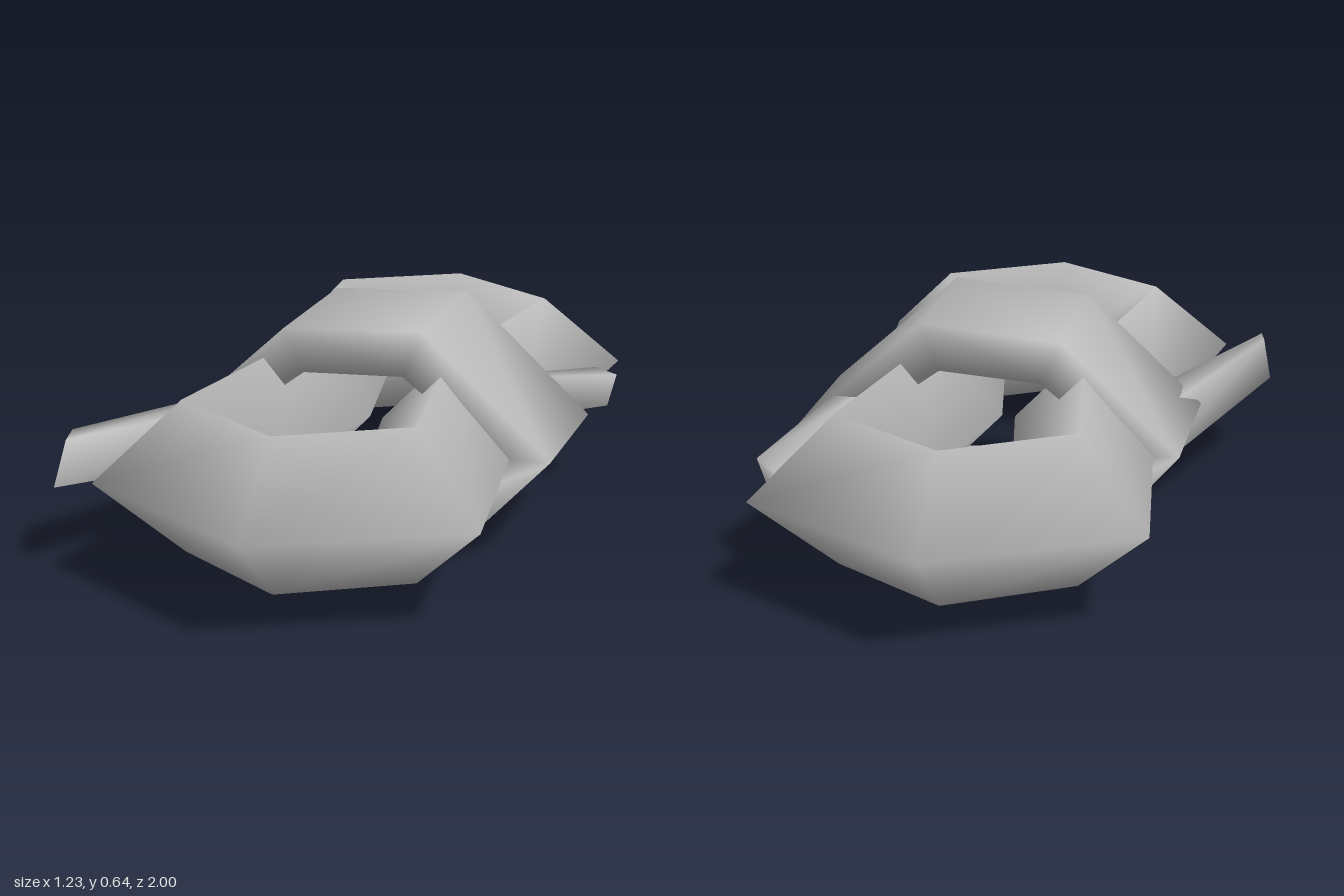
import * as THREE from 'three';

const grey = new THREE.MeshStandardMaterial({ color: 0xbcbcbc });
grey.name = 'plain grey';

// Joins four-cornered cross-sections into a smooth skin, as a ring or a capped bar
function loft(name, sections, ring) {
  const n = sections[0].length, count = sections.length;
  const pos = sections.flat(2), index = [];
  for (let i = 0; i < (ring ? count : count - 1); i++) {
    for (let j = 0; j < n; j++) {
      const k = (j + 1) % n, next = (i + 1) % count;
      const a = i * n + j, b = i * n + k, c = next * n + k, d = next * n + j;
      index.push(a, b, c, a, c, d);
    }
  }
  if (!ring) {
    const e = (count - 1) * n;
    index.push(0, 2, 1, 0, 3, 2, e, e + 1, e + 2, e, e + 2, e + 3);
  }
  // Turn the corner order around if the skin encloses a negative volume
  const corner = (i) => new THREE.Vector3().fromArray(pos, index[i] * 3);
  let volume = 0;
  for (let i = 0; i < index.length; i += 3) {
    volume += corner(i).dot(corner(i + 1).cross(corner(i + 2)));
  }
  if (volume < 0) index.reverse();

  const geo = new THREE.BufferGeometry();
  geo.setAttribute('position', new THREE.Float32BufferAttribute(pos, 3));
  geo.setIndex(index);
  geo.computeVertexNormals();
  const mesh = new THREE.Mesh(geo, grey);
  mesh.name = name;
  return mesh;
}

export function createModel() {
  const group = new THREE.Group();
  group.name = 'knot';

  // Long loop lying flat: diamond section, pinched at the waist
  const cx = 0.05, cy = 0.312, r = 0.208;
  const tip = { outer: [0, 1], ridge: [0, 0.79], inner: [0, 0.582] };
  const bend = { outer: [0.515, 0.73], ridge: [0.315, 0.605], inner: [0.115, 0.478] };
  const waist = { outer: [0.41, 0], ridge: [0.215, 0], inner: [0.018, 0] };
  const path = [
    [tip, 1, 1], [bend, 1, 1], [waist, 1, 1], [bend, 1, -1],
    [tip, 1, -1], [bend, -1, -1], [waist, -1, 1], [bend, -1, 1],
  ];
  const loopSections = path.map(([s, sx, sz]) => {
    const at = ([x, z], y) => [cx + sx * x, y, sz * z];
    return [at(s.outer, cy), at(s.ridge, cy + r), at(s.inner, cy), at(s.ridge, cy - r)];
  });
  group.add(loft('longLoop', loopSections, true));

  // Six-sided band wrapped around the waist
  const outline = [
    [0.6, 0.315], [0.245, 0.637], [-0.14, 0.61],
    [-0.46, 0.312], [-0.212, 0.018], [0.312, 0],
  ];
  const half = 0.209, bx = 0.06, by = 0.315;
  const bandSections = outline.map(([x, y]) => {
    const ix = bx + (x - bx) * 0.72, iy = by + (y - by) * 0.6;
    return [[x, y, half], [x, y, -half], [ix, iy, -half], [ix, iy, half]];
  });
  group.add(loft('waistBand', bandSections, true));

  // Loose ends poking out from under the band
  group.add(loft('frontLooseEnd', [
    [[-0.36, 0.35, 0], [-0.24, 0.35, 0.02], [-0.24, 0.19, 0.02], [-0.37, 0.19, 0]],
    [[-0.595, 0.39, 0.57], [-0.58, 0.385, 0.64], [-0.6, 0.265, 0.68], [-0.615, 0.265, 0.59]],
  ], false));
  group.add(loft('backLooseEnd', [
    [[0.375, 0.44, -0.1], [0.45, 0.44, -0.1], [0.44, 0.32, -0.1], [0.375, 0.32, -0.1]],
    [[0.53, 0.332, -0.585], [0.61, 0.34, -0.51], [0.59, 0.25, -0.49], [0.53, 0.255, -0.54]],
  ], false));

  return group;
}
